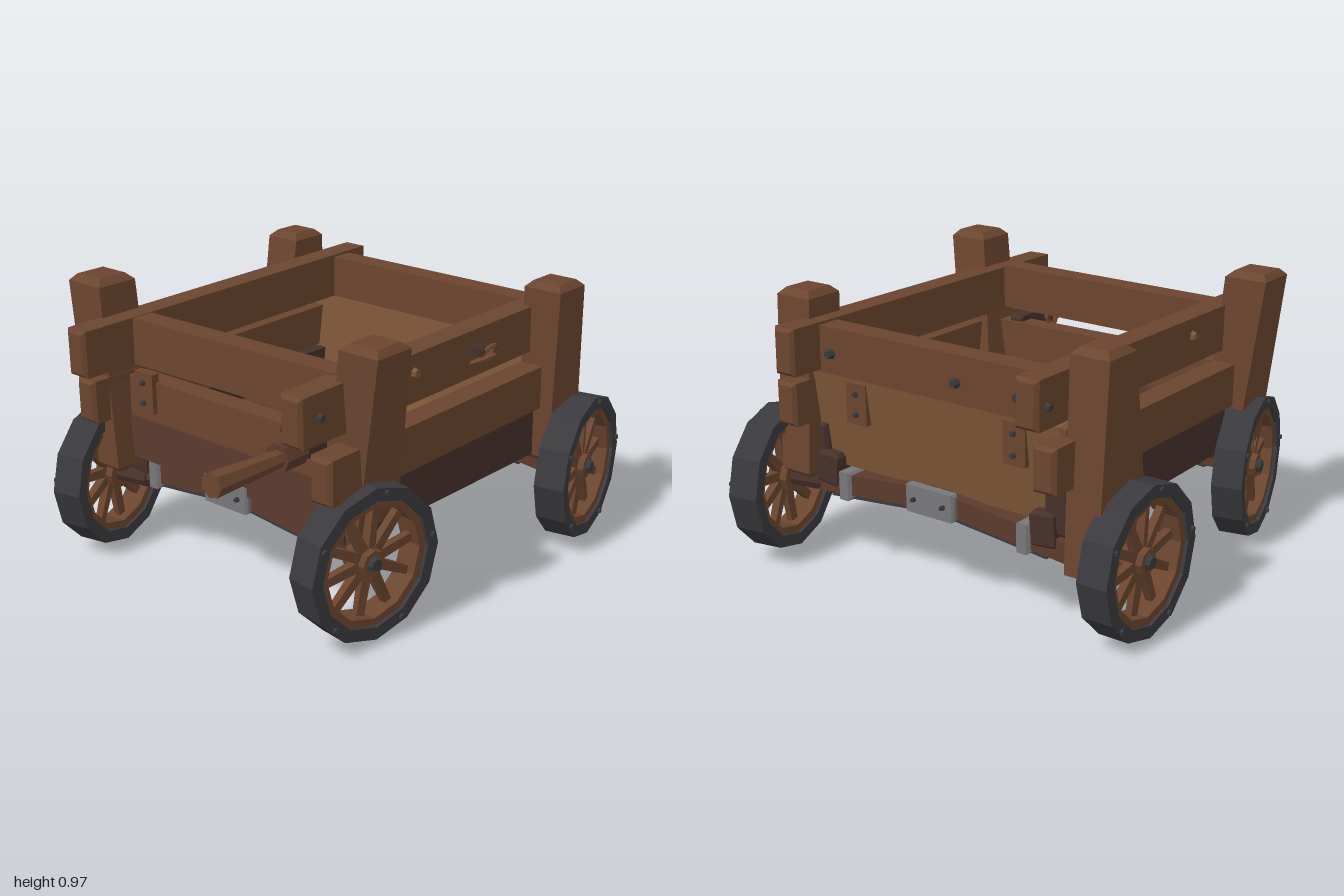
import * as THREE from 'three';

const mat = (color) => new THREE.MeshStandardMaterial({ color, flatShading: true, side: THREE.DoubleSide });
const M = {
  wood: mat(0x6b452f), light: mat(0x7d5637), dark: mat(0x46302a), red: mat(0x5c3a2d),
  iron: mat(0x3a3a3e), steel: mat(0x77777a),
};
const V = (x, y, z) => new THREE.Vector3(x, y, z);

function add(parent, name, geo, material, pos) {
  const mesh = new THREE.Mesh(geo, material);
  mesh.name = name;
  if (pos) mesh.position.copy(pos);
  parent.add(mesh);
  return mesh;
}

// Chamfered timber, centred, running along z
function timber(w, h, len, b = 0.012) {
  const x = w / 2 - b, y = h / 2 - b;
  const s = new THREE.Shape([[-x, -y], [x, -y], [x, y], [-x, y]].map(([a, c]) => new THREE.Vector2(a, c)));
  const g = new THREE.ExtrudeGeometry(s, {
    depth: len - 2 * b, bevelEnabled: true, bevelThickness: b, bevelSize: b, bevelSegments: 1, steps: 1,
  });
  return g.translate(0, 0, -(len - 2 * b) / 2);
}

// Timber laid from point a to point b; taper scales the far end
function beam(parent, name, a, b, w, h, material, taper = 1) {
  const len = a.distanceTo(b), g = timber(w, h, len), p = g.attributes.position;
  for (let i = 0; i < p.count; i++) {
    const k = 1 + (taper - 1) * (p.getZ(i) / len + 0.5);
    p.setXY(i, p.getX(i) * k, p.getY(i) * k);
  }
  const mesh = add(parent, name, g, material, a.clone().lerp(b, 0.5));
  mesh.quaternion.setFromRotationMatrix(new THREE.Matrix4().lookAt(b, a, V(0, 1, 0)));
  return mesh;
}

// Corner post: leans from its foot to its top, with the foot flared along x
function post(parent, foot, top, size, flare) {
  const len = top.y - foot.y, g = timber(size, size, len, 0.022).rotateX(-Math.PI / 2);
  const p = g.attributes.position;
  for (let i = 0; i < p.count; i++) {
    const t = p.getY(i) / len + 0.5;
    p.setXYZ(i,
      p.getX(i) * (flare + (1 - flare) * t) + foot.x + (top.x - foot.x) * t,
      p.getY(i) + foot.y + len / 2,
      p.getZ(i) * (0.85 + 0.15 * t) + foot.z + (top.z - foot.z) * t);
  }
  add(parent, 'cornerPost', g, M.wood);
}

function bolt(parent, pos, axis = 'x', r = 0.016, material = M.iron) {
  const g = new THREE.CylinderGeometry(r * 0.7, r, 0.025, 6);
  if (axis === 'x') g.rotateZ(pos.x > 0 ? -Math.PI / 2 : Math.PI / 2);
  else g.rotateX(pos.z > 0 ? Math.PI / 2 : -Math.PI / 2);
  add(parent, 'bolt', g, material, pos);
}

// Twelve-sided ring about z
function ring(ri, ro, h) {
  const pts = [[ri, -h], [ro, -h], [ro, h], [ri, h], [ri, -h]].map(([r, y]) => new THREE.Vector2(r, y));
  return new THREE.LatheGeometry(pts, 12).rotateX(Math.PI / 2);
}

// Spoked wheel, outer face towards +z
function wheel(parent, x, y, z, yaw) {
  const w = new THREE.Group();
  w.name = 'wheel';
  w.position.set(x, y, z);
  w.rotation.y = yaw;
  add(w, 'tyre', ring(0.212, 0.254, 0.054), M.iron);
  add(w, 'rim', ring(0.186, 0.214, 0.042), M.wood);
  for (let i = 0; i < 10; i++) {
    const a = (i / 10) * Math.PI * 2 + 0.15, c = Math.cos(a), s = Math.sin(a);
    beam(w, 'spoke', V(c * 0.03, s * 0.03, 0.005), V(c * 0.2, s * 0.2, 0), 0.03, 0.034, M.wood, 0.8);
    if (i % 2 === 0) bolt(w, V(c * 0.233, s * 0.233, 0.05), 'z', 0.013);
  }
  const disc = (name, r1, r2, len, zc, m) =>
    add(w, name, new THREE.CylinderGeometry(r1, r2, len, 8).rotateX(Math.PI / 2), m, V(0, 0, zc));
  disc('hub', 0.042, 0.058, 0.08, 0, M.wood);
  disc('hubCap', 0.02, 0.028, 0.02, 0.046, M.iron);
  disc('axleStub', 0.032, 0.032, 0.14, -0.09, M.dark);
  parent.add(w);
}

export function createModel() {
  const root = new THREE.Group();
  root.name = 'cart';
  const body = new THREE.Group();
  body.name = 'cartBody';
  body.rotation.y = 0.733;
  root.add(body);

  // Corner posts
  post(body, V(-0.43, 0.3, 0.44), V(-0.51, 0.97, 0.56), 0.15, 1.3);
  post(body, V(0.49, 0.3, 0.52), V(0.463, 0.945, 0.535), 0.145, 1.2);
  post(body, V(-0.535, 0.3, -0.54), V(-0.537, 0.97, -0.612), 0.155, 1.15);
  post(body, V(0.4, 0.2, -0.625), V(0.44, 0.935, -0.625), 0.14, 2.1);

  // Long side planks run inside the posts and overshoot them; sills below
  for (const s of [1, -1]) {
    const z = s > 0 ? 0.45 : -0.495;
    beam(body, 'topSidePlank', V(-0.76, 0.765, z), V(s > 0 ? 0.68 : 0.65, 0.78, z), 0.085, 0.16, M.wood);
    beam(body, 'lowerSidePlank', V(-0.69, 0.57, z + s * 0.05), V(0.63, 0.58, z + s * 0.05), 0.085, 0.15, M.wood);
    beam(body, 'sideSill', V(-0.52, 0.415, z + s * 0.02), V(0.52, 0.41, z + s * 0.02), 0.09, 0.17, M.dark);
    for (const x of [-0.68, 0.6]) bolt(body, V(x, 0.77, z + s * 0.045), 'z');
    bolt(body, V(-0.24, 0.79, z + s * 0.045), 'z', 0.02, M.light);
  }

  // Handle end: open planks held between the sides
  beam(body, 'handleEndTopPlank', V(-0.505, 0.765, -0.48), V(-0.505, 0.775, 0.44), 0.085, 0.16, M.wood);
  beam(body, 'handleEndLowerPlank', V(-0.505, 0.57, -0.5), V(-0.505, 0.57, 0.46), 0.075, 0.14, M.wood);
  beam(body, 'handleEndSill', V(-0.5, 0.42, -0.58), V(-0.5, 0.42, 0.46), 0.09, 0.15, M.red);

  // Closed end: solid panel leaning inwards at the bottom
  beam(body, 'closedEndTopPlank', V(0.508, 0.77, -0.5), V(0.508, 0.77, 0.44), 0.085, 0.16, M.wood);
  const panel = beam(body, 'closedEndPanel', V(0.475, 0.525, -0.55), V(0.475, 0.525, 0.5), 0.075, 0.34, M.light);
  panel.rotation.z = -0.14;
  for (const z of [-0.4, -0.16, 0.36]) bolt(body, V(0.558, 0.76, z), 'x', 0.02);

  // Strap plates on both ends
  for (const [x, z] of [[0.522, 0.27], [0.522, -0.37], [-0.545, -0.4]]) {
    add(body, 'strapPlate', new THREE.BoxGeometry(0.03, 0.14, 0.085), M.wood, V(x, 0.6, z));
    for (const dy of [-0.035, 0.035]) bolt(body, V(x + Math.sign(x) * 0.016, 0.6 + dy, z), 'x', 0.012);
  }

  // Floor boards and the cross beam over them
  const boards = [[-0.37, 0.3, M.red], [-0.1, 0.26, M.red], [0.25, 0.46, M.light]];
  for (const [x, w, m] of boards) {
    add(body, 'floorBoard', timber(w, 0.04, 1.0, 0.006), m, V(x, 0.39, -0.02));
  }
  beam(body, 'floorCrossBeam', V(0.05, 0.425, -0.5), V(-0.06, 0.425, 0.44), 0.085, 0.06, M.wood);
  beam(body, 'innerStud', V(0.05, 0.4, -0.44), V(0.06, 0.53, -0.46), 0.05, 0.07, M.wood);

  // Bowed axle beams with clamps
  for (const s of [-1, 1]) {
    const x = s * 0.49;
    for (const e of [-1, 1]) {
      beam(body, 'axleBeam', V(x, 0.335, -0.04), V(x, 0.28, -0.03 + e * 0.56), 0.075, 0.07, M.red);
      beam(body, 'axleStrap', V(x, 0.295, -0.04), V(x, 0.25, -0.03 + e * 0.46), 0.045, 0.02, M.iron);
      add(body, 'axleClamp', timber(0.095, 0.1, 0.06), M.steel, V(x, 0.295, -0.03 + e * 0.37));
      beam(body, 'axleBlock', V(x, 0.4, -0.03 + e * 0.44), V(x, 0.28, -0.03 + e * 0.45), 0.09, 0.09, M.dark);
    }
    add(body, 'axlePlate', timber(0.03, 0.095, 0.2, 0.008), M.steel, V(x + s * 0.045, 0.33, -0.04));
    for (const z of [-0.1, 0.02]) bolt(body, V(x + s * 0.062, 0.33, z), 'x', 0.01);
  }

  // Push handle
  const grip = add(body, 'handle', new THREE.CylinderGeometry(0.024, 0.04, 0.37, 7).rotateZ(-Math.PI / 2),
    M.wood, V(-0.825, 0.63, 0.38));
  grip.rotation.z = -0.02;
  add(body, 'handleCollar', new THREE.CylinderGeometry(0.047, 0.047, 0.09, 7).rotateZ(Math.PI / 2), M.red, V(-0.69, 0.63, 0.375));
  beam(body, 'handleSocket', V(-0.48, 0.63, 0.37), V(-0.65, 0.63, 0.37), 0.06, 0.06, M.dark);

  // Tie rings
  const tie = (x, y, z, r, tilt) => {
    const t = add(body, 'tieRing', new THREE.TorusGeometry(r, 0.009, 5, 9), M.wood, V(x, y, z));
    t.rotation.set(tilt, 0, 0);
  };
  tie(0.05, 0.77, 0.545, 0.04, 1.1);
  tie(0.1, 0.78, 0.53, 0.03, 0.6);
  tie(-0.56, 0.66, 0.26, 0.03, 0.3);
  beam(body, 'tiePeg', V(0.07, 0.79, 0.48), V(0.07, 0.79, 0.54), 0.05, 0.03, M.dark);

  // Wheels, each slightly askew
  wheel(root, -0.03, 0.275, 0.755, 0.58);
  wheel(root, 0.81, 0.275, 0.105, 0.92);
  wheel(root, -0.81, 0.258, -0.09, 0.94 + Math.PI);
  wheel(root, -0.205, 0.254, -0.785, 0.72 + Math.PI);
  return root;
}
